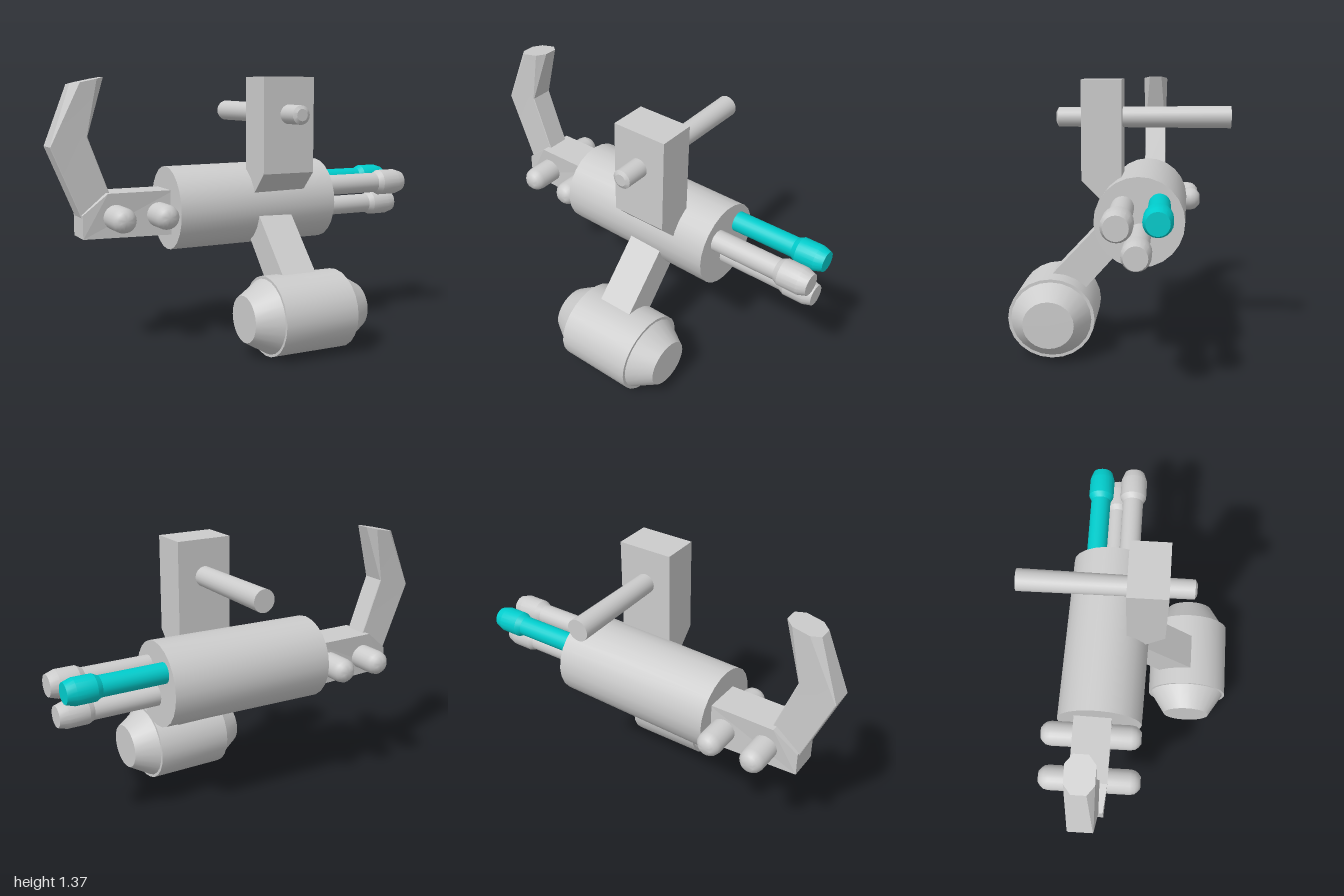
import * as THREE from 'three';
import { toCreasedNormals } from 'three/addons/utils/BufferGeometryUtils.js';

const grey = new THREE.MeshStandardMaterial({ color: 0xcccccc });
const teal = new THREE.MeshStandardMaterial({ color: 0x00cccc });

function mesh(name, geometry, material = grey) {
  const m = new THREE.Mesh(geometry, material);
  m.name = name;
  return m;
}

// Turned part between two points; rings are [distance along, radius].
function turned(name, from, to, rings, { material = grey, sides = 24, crease = 0.4 } = {}) {
  const a = new THREE.Vector3(...from);
  const dir = new THREE.Vector3(...to).sub(a);
  const len = dir.length();
  const pts = rings.map(([t, r]) => new THREE.Vector2(r, t * len));
  pts.unshift(new THREE.Vector2(0, pts[0].y));
  pts.push(new THREE.Vector2(0, pts[pts.length - 1].y));
  const m = mesh(name, toCreasedNormals(new THREE.LatheGeometry(pts, sides), crease), material);
  m.quaternion.setFromUnitVectors(new THREE.Vector3(0, 1, 0), dir.normalize());
  m.position.copy(a);
  return m;
}

// Side profile given as [z, y], extruded from x0 to x1.
function sideSlab(name, profile, x0, x1) {
  const shape = new THREE.Shape(profile.map(([z, y]) => new THREE.Vector2(-z, y)));
  const g = new THREE.ExtrudeGeometry(shape, { depth: x1 - x0, bevelEnabled: false });
  g.rotateY(Math.PI / 2).translate(x0, 0, 0);
  return mesh(name, g);
}

// Bent grip: eight-cornered sections from outer point a to inner point b,
// with half width w and corner cut c (fraction of the section).
function bentGrip(sections, zc) {
  const pos = [], idx = [];
  for (const { a, b, w, c } of sections) {
    const corners = [[c, -1], [1 - c, -1], [1, -1 + 2 * c], [1, 1 - 2 * c],
      [1 - c, 1], [c, 1], [0, 1 - 2 * c], [0, -1 + 2 * c]];
    for (const [u, v] of corners) {
      pos.push(a[0] + (b[0] - a[0]) * u, a[1] + (b[1] - a[1]) * u, zc + v * w);
    }
  }
  const n = 8, last = (sections.length - 1) * n;
  for (let s = 0; s < sections.length - 1; s++) {
    for (let i = 0; i < n; i++) {
      const p = s * n + i, q = s * n + (i + 1) % n;
      idx.push(p, p + n, q, q, p + n, q + n);
    }
  }
  for (let i = 1; i < n - 1; i++) {
    idx.push(0, i, i + 1);
    idx.push(last, last + i + 1, last + i);
  }
  const g = new THREE.BufferGeometry();
  g.setAttribute('position', new THREE.Float32BufferAttribute(pos, 3));
  g.setIndex(idx);
  return mesh('bentGrip', toCreasedNormals(g, 0.3));
}

export function createModel() {
  const model = new THREE.Group();
  model.name = 'rotaryGun';

  // Main body, very slightly skewed
  model.add(turned('body', [-0.4, 0.71, -0.128], [0.475, 0.718, -0.108], [[0, 0.215], [1, 0.215]]));

  // Three barrels with flared muzzles
  const barrels = [
    ['frontBarrel', 0.788, -0.03, 0.995, 0.055, 0.07, grey],
    ['rearBarrel', 0.805, -0.203, 0.98, 0.052, 0.066, teal],
    ['lowerBarrel', 0.662, -0.112, 0.99, 0.053, 0.066, grey],
  ];
  for (const [name, y, z, end, r, flare, material] of barrels) {
    model.add(turned(name, [0.43, y, z], [end, y, z],
      [[0, r], [0.69, r], [0.74, flare], [0.92, flare], [1, r]], { material, sides: 20 }));
  }

  // Rear stock, narrowing towards its sloped end
  const stockShape = new THREE.Shape([[-0.855, 0.587], [-0.38, 0.58], [-0.38, 0.808],
    [-0.73, 0.808], [-0.855, 0.705]].map(p => new THREE.Vector2(...p)));
  const stock = new THREE.ExtrudeGeometry(stockShape, { depth: 0.19, bevelEnabled: false });
  stock.translate(0, 0, -0.095);
  const sp = stock.attributes.position;
  for (let i = 0; i < sp.count; i++) {
    if (sp.getX(i) < -0.8) sp.setZ(i, sp.getZ(i) * 0.82);
  }
  stock.computeVertexNormals();
  stock.translate(0, 0, -0.157);
  model.add(mesh('stock', stock));

  // Rear grip, square below and rounded off at the top
  model.add(bentGrip([
    { a: [-0.855, 0.69], b: [-0.705, 0.79], w: 0.06, c: 0.02 },
    { a: [-1.0, 1.04], b: [-0.815, 1.085], w: 0.06, c: 0.02 },
    { a: [-0.89, 1.338], b: [-0.722, 1.373], w: 0.068, c: 0.25 },
  ], -0.16));

  // Rounded cross pins through the stock
  const pinEnd = [[0, 0.03], [0.025, 0.046], [0.055, 0.058], [0.1, 0.063]];
  const pinRings = [...pinEnd, ...pinEnd.map(([t, r]) => [1 - t, r]).reverse()];
  for (const [x, z0, z1] of [[-0.69, -0.41, 0.097], [-0.465, -0.418, 0.09]]) {
    model.add(turned('crossPin', [x, 0.688, z0], [x, 0.688, z1], pinRings, { crease: 0.9 }));
  }

  // Upright sight block with a rod through it
  model.add(sideSlab('sightBlock',
    [[0.18, 1.375], [0.18, 0.89], [-0.015, 0.69], [-0.015, 1.375]], 0.002, 0.29));
  model.add(turned('sightRod', [0.145, 1.188, 0.313], [0.145, 1.19, -0.547],
    [[0, 0.03], [0.012, 0.048], [1, 0.055]]));

  // Strut down to the drum
  model.add(sideSlab('strut',
    [[0.05, 0.71], [0.36, 0.38], [0.2, 0.3], [-0.06, 0.59]], 0.025, 0.213));

  // Drum with tapered ends, a little flattened in height
  const drum = new THREE.Group();
  drum.name = 'drum';
  drum.add(turned('drumShell', [-0.065, 0, 0], [0.338, 0, 0], [[0, 0.215], [1, 0.215]]));
  drum.add(turned('drumEnds', [-0.185, 0, 0], [0.455, 0, 0],
    [[0, 0.125], [0.19, 0.202], [0.81, 0.202], [1, 0.125]]));
  drum.scale.y = 0.93;
  drum.position.set(0, 0.205, 0.33);
  model.add(drum);

  return model;
}
